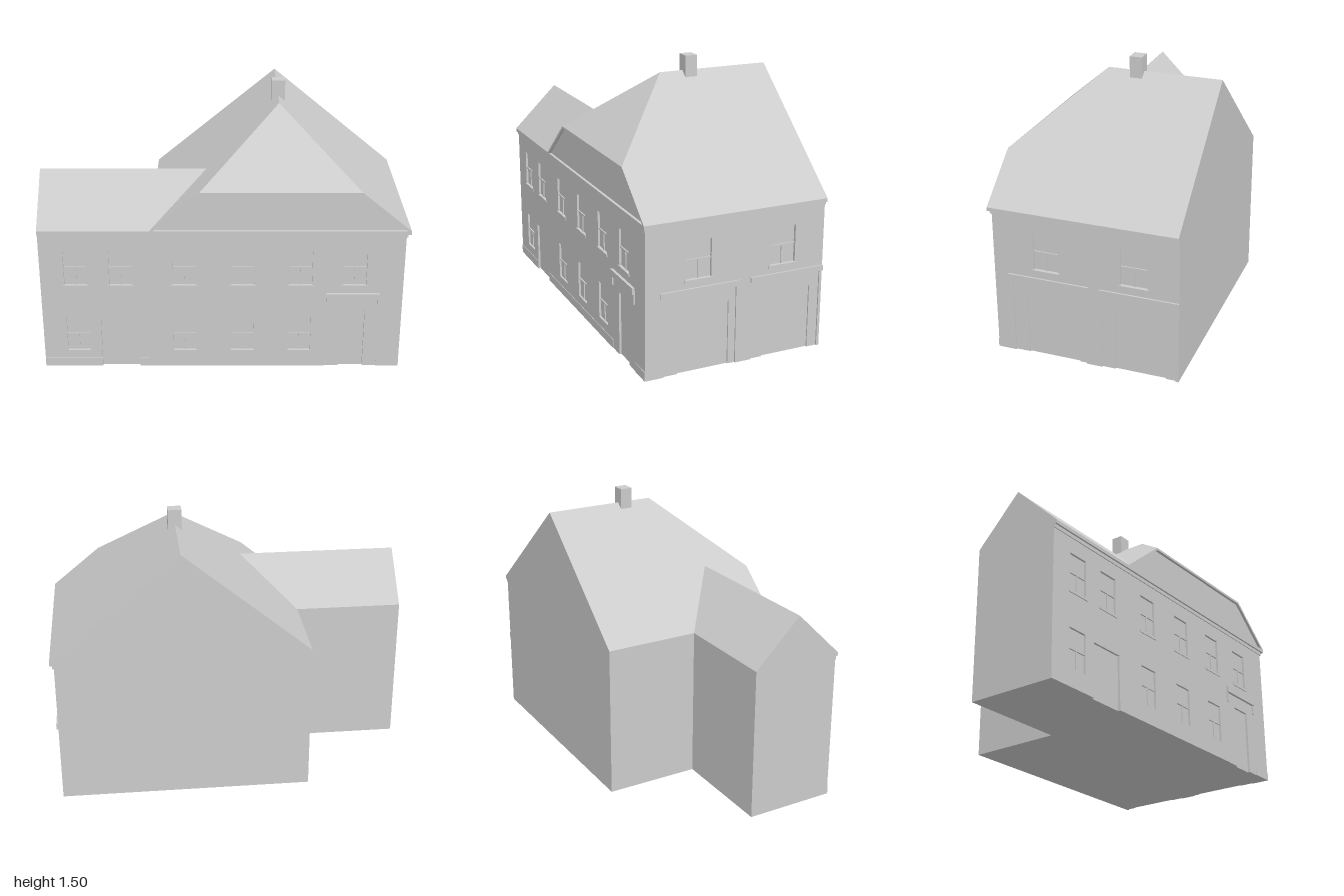
import * as THREE from 'three';

const grey = new THREE.MeshStandardMaterial({ color: 0xcccccc, flatShading: true, side: THREE.DoubleSide });

export function createModel() {
  const model = new THREE.Group();

  const add = (name, geometry, parent = model) => {
    const mesh = new THREE.Mesh(geometry, grey);
    mesh.name = name;
    parent.add(mesh);
    return mesh;
  };

  // Box given by its extents on each axis
  const box = (name, x0, x1, y0, y1, z0, z1, parent) =>
    add(name, new THREE.BoxGeometry(x1 - x0, y1 - y0, z1 - z0)
      .translate((x0 + x1) / 2, (y0 + y1) / 2, (z0 + z1) / 2), parent);

  // Flat convex panel through the given corners
  const panel = (name, ...corners) => {
    const points = [];
    for (let i = 1; i < corners.length - 1; i++) points.push(...corners[0], ...corners[i], ...corners[i + 1]);
    const geometry = new THREE.BufferGeometry();
    geometry.setAttribute('position', new THREE.Float32BufferAttribute(points, 3));
    geometry.computeVertexNormals();
    return add(name, geometry);
  };

  const shapeOf = (pts) => new THREE.Shape(pts.map(([x, y]) => new THREE.Vector2(x, y)));
  const extrude = (shape, depth) => new THREE.ExtrudeGeometry(shape, { depth, bevelEnabled: false });

  // Wall layer with door notches [u0, u1, height] and window holes [u0, u1, v0, v1]
  const wall = (name, u0, u1, height, depth, z, doors, windows, parent) => {
    const pts = [[u0, 0]];
    for (const [a, b, h] of doors) pts.push([a, 0], [a, h], [b, h], [b, 0]);
    pts.push([u1, 0], [u1, height], [u0, height]);
    const shape = shapeOf(pts);
    for (const [a, b, c, d] of windows)
      shape.holes.push(new THREE.Path([[a, c], [a, d], [b, d], [b, c]].map((p) => new THREE.Vector2(...p))));
    return add(name, extrude(shape, depth).translate(0, 0, z), parent);
  };

  // Rail and lower mullion inside a window opening
  const glazing = ([a, b, c, d], z, parent) => {
    const u = (a + b) / 2, v = (c + d) / 2;
    box('windowRail', a, b, v - 0.004, v + 0.004, z, z + 0.007, parent);
    box('windowMullion', u - 0.004, u + 0.004, c, v, z, z + 0.006, parent);
  };
  const sill = ([a, b, c], z, parent) =>
    box('windowSill', a - 0.01, b + 0.01, c - 0.014, c, z - 0.005, z + 0.005, parent);

  // Solid cores of the main house and the wing
  box('mainBody', -0.4, 0.961, 0, 0.835, -0.52, 0.488);
  box('wingBody', -1, -0.4, 0, 0.835, 0, 0.488);

  // Front wall
  const lower = [-0.87, -0.28, 0.04, 0.355].map((x) => [x, x + 0.125, 0.1, 0.31]);
  const upper = [-0.87, -0.625, -0.28, 0.04, 0.355, 0.65].map((x) => [x, x + 0.125, 0.51, 0.715]);
  const frontWindows = [...lower, ...upper];
  wall('frontWall', -1, 0.961, 0.82, 0.012, 0.488,
    [[-0.68, -0.47, 0.295], [0.64, 0.775, 0.355]], frontWindows);
  frontWindows.forEach((w) => glazing(w, 0.488));
  upper.forEach((w) => sill(w, 0.5));
  for (const [a, b] of [[-1, -0.68], [-0.47, 0.56], [0.85, 0.977]])
    box('plinth', a, b, 0, 0.05, 0.49, 0.503);
  box('doorCanopy', 0.56, 0.85, 0.425, 0.46, 0.49, 0.515);
  for (const x of [0.56, 0.84]) box('canopyBracket', x, x + 0.01, 0.37, 0.425, 0.49, 0.508);

  // Right-hand wall, built facing front and turned a quarter
  const side = new THREE.Group();
  side.name = 'sideWall';
  side.rotation.y = Math.PI / 2;
  model.add(side);
  const sideWindows = [[-0.275, -0.135, 0.51, 0.715], [0.205, 0.35, 0.51, 0.715]];
  wall('doorSurrounds', -0.5, 0.52, 0.82, 0.008, 0.961,
    [[-0.32, -0.03, 0.355], [0.17, 0.45, 0.355]], sideWindows, side);
  wall('sideFacing', -0.5, 0.52, 0.82, 0.008, 0.969,
    [[-0.4, 0.01, 0.435], [0.1, 0.505, 0.435]], sideWindows, side);
  for (const w of sideWindows) {
    glazing(w, 0.961, side);
    sill(w, 0.977, side);
  }
  for (const [a, b] of [[-0.42, 0.03], [0.09, 0.52]])
    box('bayLintel', a, b, 0.435, 0.465, 0.965, 0.987, side);

  // Stepped cornice
  box('mainCorniceLower', -0.4, 0.985, 0.8, 0.82, -0.52, 0.505);
  box('mainCorniceUpper', -0.4, 1, 0.82, 0.84, -0.52, 0.515);
  box('wingCorniceLower', -1, -0.4, 0.8, 0.82, 0, 0.505);
  box('wingCorniceUpper', -1, -0.4, 0.82, 0.84, 0, 0.515);

  // Main roof with a clipped front gable
  const eaveL = [-0.4, 0.84, 0.515], vergeL = [-0.13, 1.063, 0.515];
  const vergeR = [0.73, 1.063, 0.515], eaveR = [1, 0.84, 0.515];
  const ridgeF = [0.3, 1.42, 0.11], ridgeB = [0.3, 1.42, -0.52];
  const backL = [-0.4, 0.84, -0.52], backR = [1, 0.84, -0.52];
  panel('roofLeft', ridgeF, ridgeB, backL, eaveL, vergeL);
  panel('roofHip', vergeL, vergeR, ridgeF);
  panel('roofRight', ridgeF, vergeR, eaveR, backR, ridgeB);
  panel('backGable', backL, ridgeB, backR);
  add('frontGable', extrude(shapeOf([[-0.4, 0.838], [1, 0.838], [0.73, 1.06], [-0.13, 1.06]]), 0.012)
    .translate(0, 0, 0.488));
  add('vergeTrim', extrude(shapeOf([[-0.4, 0.84], [-0.38, 0.84], [-0.126, 1.05], [0.726, 1.05],
    [0.98, 0.84], [1, 0.84], [0.73, 1.063], [-0.13, 1.063]]), 0.02).translate(0, 0, 0.495));

  // Wing roof running into the main slope
  const wingRidge = [-1, 1.095, 0.255], wingMeet = [-0.095, 1.095, 0.255];
  panel('wingRoofFront', [-1, 0.84, 0.515], eaveL, wingMeet, wingRidge);
  panel('wingRoofBack', [-0.4, 0.84, 0], [-1, 0.84, 0], wingRidge, wingMeet);
  panel('wingGable', [-1, 0.84, 0], [-1, 0.84, 0.515], wingRidge);

  box('chimney', 0.263, 0.338, 1.385, 1.505, -0.09, -0.022);
  return model;
}
